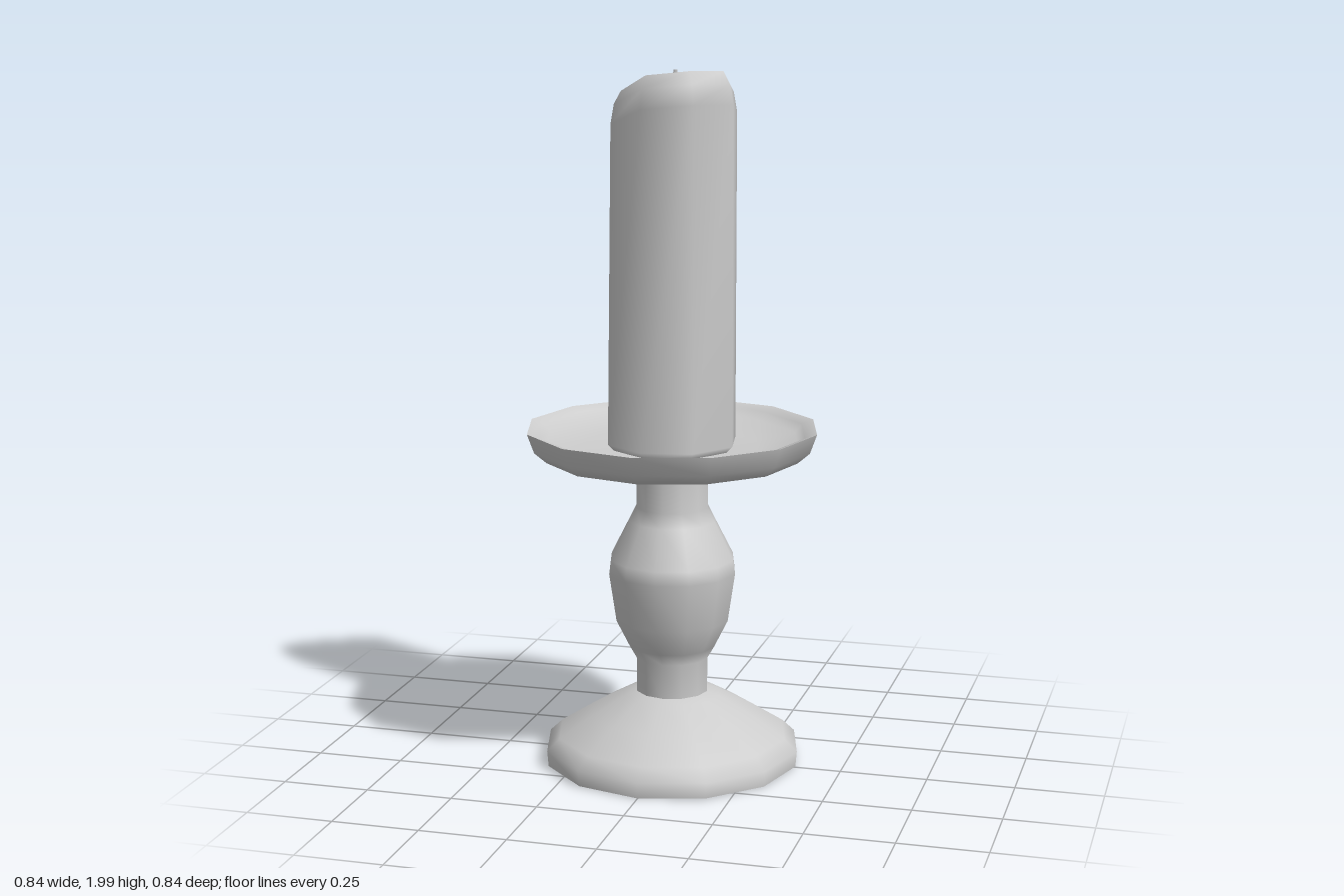
import * as THREE from 'three';

const wax = new THREE.MeshStandardMaterial({ color: 0xcccccc });
wax.name = 'palegrey';

// Twelve-sided turned part; profile runs bottom to top on the outside
function turned(name, profile) {
  const pts = profile.map(([r, y]) => new THREE.Vector2(r, y));
  const mesh = new THREE.Mesh(new THREE.LatheGeometry(pts, 12), wax);
  mesh.name = name;
  return mesh;
}

// Eight-sided candle with a rim that dips at the back where the wax has melted
function candleGeometry() {
  const sides = 8;
  const rimY = [1.995, 2.0, 1.988, 1.94, 1.86, 1.80, 1.84, 1.965];
  const topR = [0.188, 0.187, 0.187, 0.178, 0.166, 0.160, 0.176, 0.19];
  const rings = [
    () => [0.165, 0.925],
    () => [0.19, 0.95],
    k => [topR[k], rimY[k] - 0.09],
    k => [topR[k] - 0.01, rimY[k] - 0.035],
    k => [topR[k] - 0.03, rimY[k]],
    k => [topR[k] - 0.048, rimY[k] - 0.01],
    k => [0.075, 1.85 + (rimY[k] - 1.85) * 0.3],
  ];
  const pos = [], idx = [];
  for (const ring of rings) {
    for (let k = 0; k < sides; k++) {
      const a = THREE.MathUtils.degToRad(12 + 45 * k);
      const [r, y] = ring(k);
      pos.push(Math.cos(a) * r, y, Math.sin(a) * r);
    }
  }
  for (let j = 0; j < rings.length - 1; j++) {
    for (let k = 0; k < sides; k++) {
      const n = (k + 1) % sides;
      const a = j * sides + k, b = j * sides + n;
      idx.push(a, a + sides, b, a + sides, b + sides, b);
    }
  }
  // Close the melted hollow and the underside
  const last = (rings.length - 1) * sides;
  const top = pos.length / 3, bottom = top + 1;
  pos.push(0, 1.85, 0, 0, 0.925, 0);
  for (let k = 0; k < sides; k++) {
    const n = (k + 1) % sides;
    idx.push(last + k, top, last + n, bottom, k, n);
  }
  const g = new THREE.BufferGeometry();
  g.setAttribute('position', new THREE.Float32BufferAttribute(pos, 3));
  g.setIndex(idx);
  g.computeVertexNormals();
  return g;
}

export function createModel() {
  const model = new THREE.Group();
  model.name = 'candleAndHolder';

  // Foot, with separate pieces where the edge is sharp
  model.add(turned('footUnderside', [[0, 0.008], [0.365, 0.01]]));
  model.add(turned('foot', [[0.368, 0.01], [0.372, 0.055], [0.335, 0.09], [0.24, 0.15], [0.14, 0.205], [0.1, 0.217]]));

  // Baluster stem
  model.add(turned('stem', [
    [0.105, 0.205], [0.105, 0.315], [0.125, 0.35], [0.165, 0.43], [0.186, 0.57],
    [0.181, 0.61], [0.125, 0.72], [0.105, 0.76], [0.105, 0.9],
  ]));

  // Drip dish
  model.add(turned('dishOutside', [[0.09, 0.892], [0.365, 0.905], [0.4, 0.935], [0.42, 0.99]]));
  model.add(turned('dishInside', [[0.42, 0.99], [0.385, 0.978], [0.365, 0.955], [0.25, 0.935], [0, 0.925]]));

  // Candle
  const candle = new THREE.Mesh(candleGeometry(), wax);
  candle.name = 'candle';
  model.add(candle);

  // Wick
  const wick = new THREE.Mesh(new THREE.CylinderGeometry(0.006, 0.015, 0.16, 4), wax);
  wick.name = 'wick';
  wick.position.set(0.008, 1.915, -0.005);
  model.add(wick);

  return model;
}
